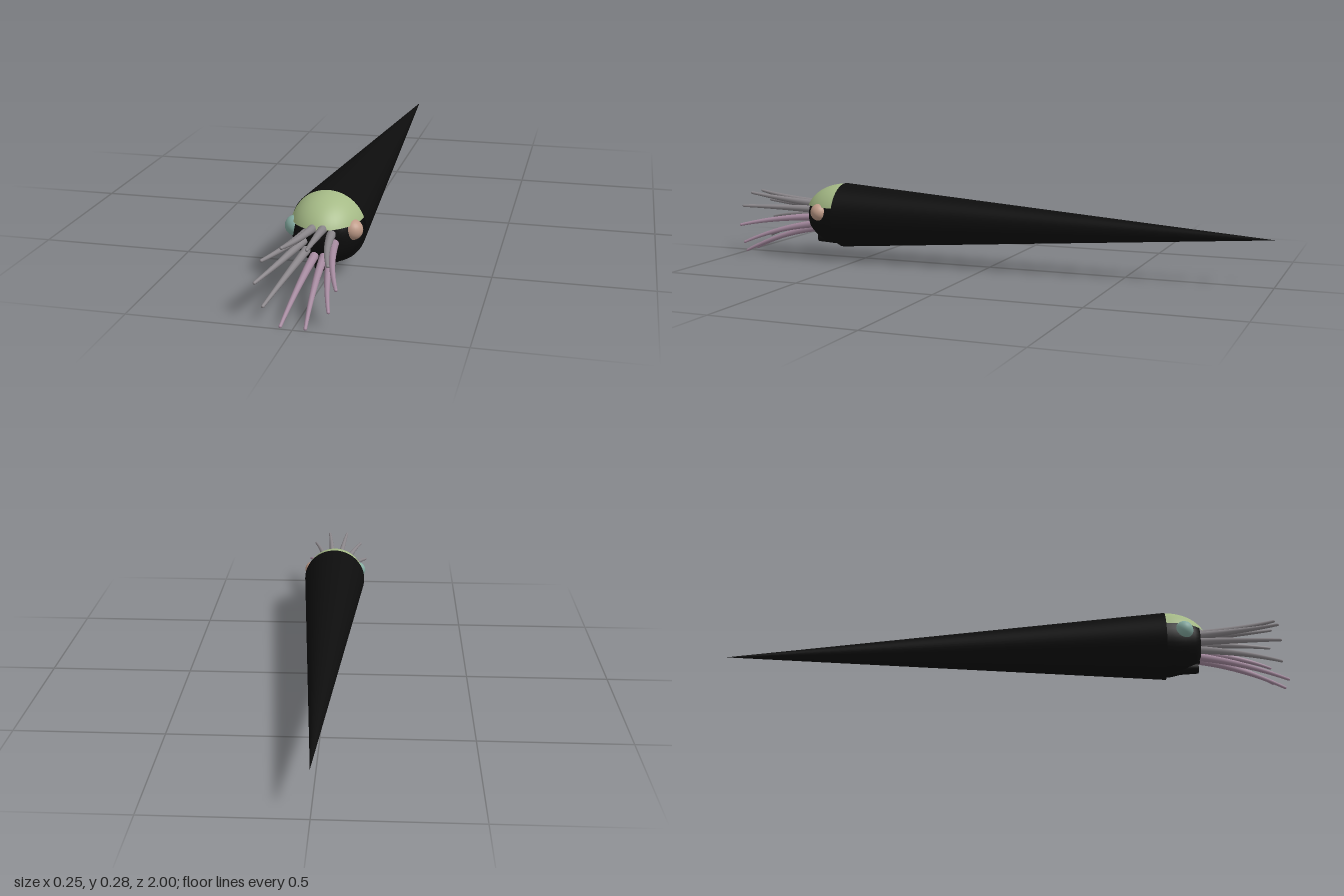
import * as THREE from 'three';

const mat = (name, color) => {
  const m = new THREE.MeshStandardMaterial({ color });
  m.name = name;
  return m;
};

const AXIS_Y = 0.167; // height of the shell's long axis
const RIM_Z = 0.58; // shell opening

export function createModel() {
  const black = mat('shell black', 0x0d0d0d);
  const green = mat('hood green', 0xa5ba86);
  const tan = mat('left eye tan', 0xbf9b88);
  const teal = mat('right eye teal', 0x84aaa0);
  const grey = mat('arm grey', 0x8a868a);
  const mauve = mat('arm mauve', 0xa58a9f);

  const model = new THREE.Group();
  model.name = 'straightShelledCephalopod';
  const add = (name, geometry, material, x = 0, y = 0, z = 0, parent = model) => {
    const mesh = new THREE.Mesh(geometry, material);
    mesh.name = name;
    mesh.position.set(x, y, z);
    parent.add(mesh);
    return mesh;
  };

  // Long conical shell, tip pointing backwards
  const length = RIM_Z + 1;
  const shell = new THREE.ConeGeometry(0.119, length, 48).rotateX(-Math.PI / 2);
  add('shell', shell, black, 0, AXIS_Y, RIM_Z - length / 2);

  // Head bulging out of the opening
  const profile = [[0.112, 0.56], [0.11, 0.6], [0.1, 0.645], [0.083, 0.68], [0.066, 0.7], [0, 0.71]]
    .map(([r, z]) => new THREE.Vector2(r, z));
  add('head', new THREE.LatheGeometry(profile, 40).rotateX(Math.PI / 2), black, 0, AXIS_Y, 0);

  // Hood: top cap of an ellipsoid
  const hood = new THREE.SphereGeometry(1, 48, 20, 0, Math.PI * 2, 0, 1.245).scale(0.117, 0.117, 0.152);
  hood.computeVertexNormals();
  add('hood', hood, green, 0, AXIS_Y, RIM_Z);

  // Funnel under the head
  const funnel = new THREE.CylinderGeometry(0.018, 0.024, 0.12, 20).rotateX(Math.PI / 2);
  add('funnel', funnel, black, 0, 0.078, 0.632);

  // Eyes
  for (const [side, name, material] of [[1, 'leftEye', tan], [-1, 'rightEye', teal]]) {
    add(name, new THREE.SphereGeometry(0.032, 24, 16), material, side * 0.09, 0.185, 0.642);
  }

  // Ten tapering arms, spreading and sagging from a ring around the mouth
  const SEG = 14, RAD = 10, R0 = 0.0145, R1 = 0.005;
  const arms = new THREE.Group();
  arms.name = 'arms';
  model.add(arms);
  for (let i = 0; i < 10; i++) {
    const a = (i / 10) * Math.PI * 2;
    const c = Math.cos(a), s = Math.sin(a);
    const tipZ = s < -0.9 ? 0.993 : 0.964;
    const at = (r, y, z) => new THREE.Vector3(c * r, y + s * r, z);
    const tip = at(0.118, 0.125, tipZ);
    const path = new THREE.QuadraticBezierCurve3(at(0.045, 0.16, 0.68), at(0.066, 0.153, 0.84), tip);
    const tube = new THREE.TubeGeometry(path, SEG, 1, RAD);
    const p = tube.attributes.position, v = new THREE.Vector3();
    for (let k = 0; k < p.count; k++) {
      const t = Math.floor(k / (RAD + 1)) / SEG;
      const centre = path.getPointAt(t);
      v.fromBufferAttribute(p, k).sub(centre).multiplyScalar(R0 + (R1 - R0) * t).add(centre);
      p.setXYZ(k, v.x, v.y, v.z);
    }
    const material = i === 0 || i >= 7 ? mauve : grey;
    add('arm' + (i + 1), tube, material, 0, 0, 0, arms);
    add('armTip' + (i + 1), new THREE.SphereGeometry(R1, 10, 8), material, tip.x, tip.y, tip.z, arms);
  }
  return model;
}
